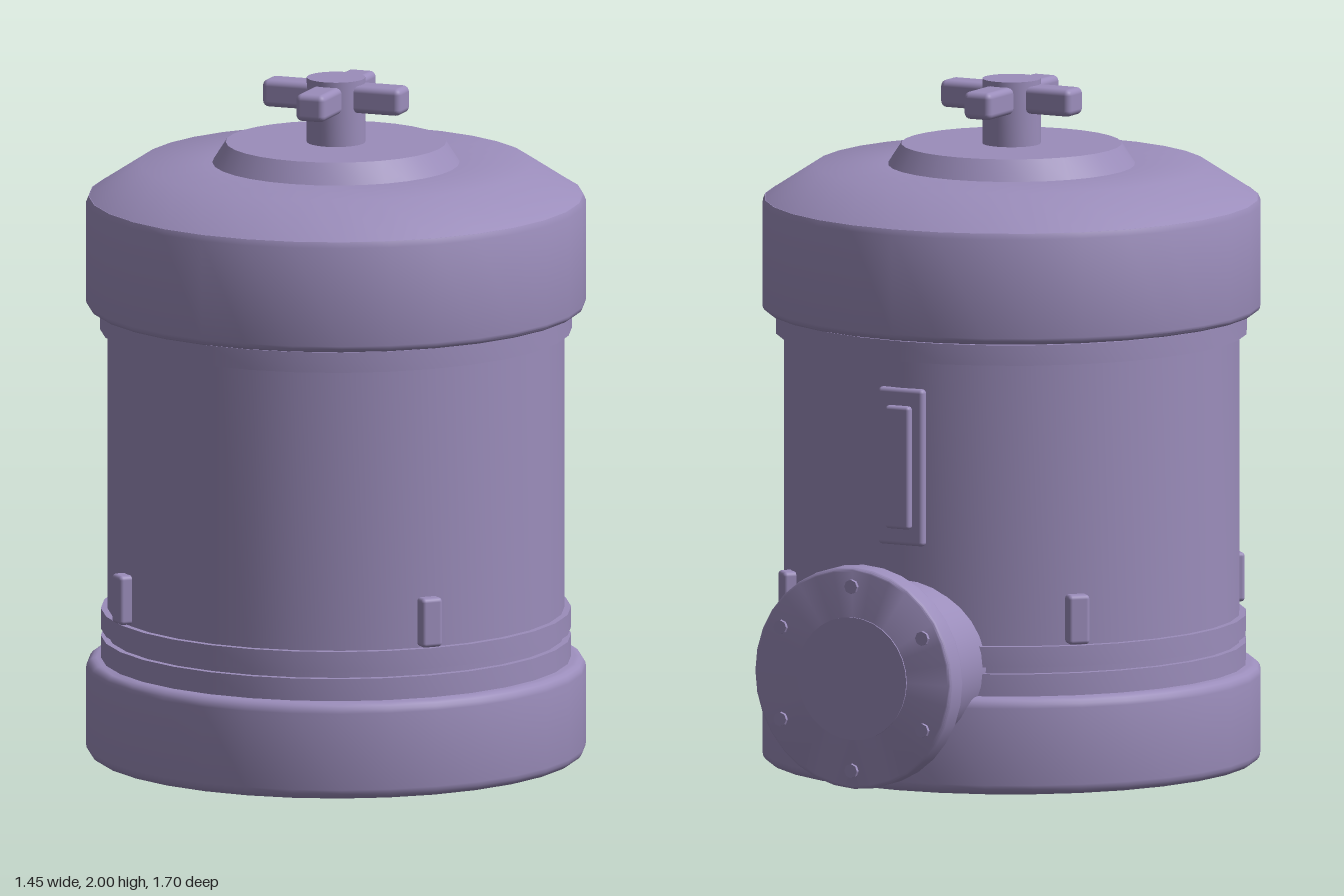
import * as THREE from 'three';
import { toCreasedNormals } from 'three/addons/utils/BufferGeometryUtils.js';
import { RoundedBoxGeometry } from 'three/addons/geometries/RoundedBoxGeometry.js';

const SIDES = 32;
const AXIS_Z = 0.125; // the tank sits forward of the outlet

export function createModel() {
  const model = new THREE.Group();
  model.name = 'filterTank';
  const paint = new THREE.MeshStandardMaterial({ color: 0x9b8dbb });
  paint.name = 'lavender paint';

  const add = (parent, name, geometry, x = 0, y = 0, z = 0) => {
    const mesh = new THREE.Mesh(geometry, paint);
    mesh.name = name;
    mesh.position.set(x, y, z);
    parent.add(mesh);
    return mesh;
  };
  // Turned part from [radius, height] points, listed bottom to top
  const turned = (points) => toCreasedNormals(
    new THREE.LatheGeometry(points.map(([r, y]) => new THREE.Vector2(r, y)), SIDES), 0.65);
  // Quarter-round corner running from angle a0 to a0 + 90 degrees
  const corner = (r, y, size, a0) => [0, 1, 2, 3, 4].map((i) => {
    const a = a0 + (i / 4) * Math.PI / 2;
    return [r + size * Math.cos(a), y + size * Math.sin(a)];
  });
  const drum = (r, y0, y1, bevel) => turned([
    [0, y0], ...corner(r - bevel, y0 + bevel, bevel, -Math.PI / 2),
    ...corner(r - bevel, y1 - bevel, bevel, 0), [0, y1]]);
  const ring = (r, y0, y1) => turned([[0, y0], [r, y0], [r, y1], [0, y1]]);

  // Tank: everything on the vertical axis
  const tank = new THREE.Group();
  tank.name = 'tank';
  tank.position.z = AXIS_Z;
  model.add(tank);
  add(tank, 'base', drum(0.725, 0.005, 0.29, 0.03));
  add(tank, 'body', ring(0.663, 0.25, 1.4));
  add(tank, 'baseCollar', ring(0.682, 0.28, 0.355));
  add(tank, 'lowerBand', ring(0.682, 0.375, 0.435));
  add(tank, 'upperBand', ring(0.685, 1.26, 1.32));
  add(tank, 'capRim', turned([
    [0, 1.325], ...corner(0.705, 1.345, 0.02, -Math.PI / 2),
    [0.725, 1.635], [0.718, 1.652], [0.69, 1.655]]));
  add(tank, 'capDome', turned([[0.718, 1.651], [0.57, 1.747], [0.34, 1.75], [0, 1.75]]));
  add(tank, 'capBoss', turned([[0.36, 1.748], [0.32, 1.81], [0, 1.81]]));

  // Four-armed hand knob
  const knob = new THREE.Group();
  knob.name = 'knob';
  tank.add(knob);
  add(knob, 'knobStem', ring(0.085, 1.8, 2.0));
  for (let i = 0; i < 2; i++) {
    const arm = add(knob, 'knobArm', new RoundedBoxGeometry(0.43, 0.08, 0.09, 3, 0.018), 0, 1.945);
    arm.rotation.y = i * Math.PI / 2;
  }

  // Four lugs around the lower body
  for (let i = 0; i < 4; i++) {
    const a = Math.PI / 4 + i * Math.PI / 2;
    const lug = add(tank, 'lug', new RoundedBoxGeometry(0.065, 0.145, 0.06, 3, 0.012),
      0.668 * Math.sin(a), 0.512, 0.668 * Math.cos(a));
    lug.rotation.y = a;
  }

  // Sight plate on the back
  add(model, 'sightPlate', new RoundedBoxGeometry(0.15, 0.46, 0.05, 3, 0.012), 0, 0.95, -0.527);
  add(model, 'sightWindow', new RoundedBoxGeometry(0.08, 0.36, 0.05, 3, 0.01), 0, 0.95, -0.547);

  // Outlet pipe: its local +y points to the back
  const outlet = new THREE.Group();
  outlet.name = 'outlet';
  outlet.position.y = 0.368;
  outlet.rotation.x = -Math.PI / 2;
  model.add(outlet);
  add(outlet, 'outletPipe', ring(0.25, 0.3, 0.78));
  add(outlet, 'flange', drum(0.325, 0.76, 0.84, 0.012));
  add(outlet, 'flangeDisc', ring(0.18, 0.83, 0.844));
  for (let i = 0; i < 6; i++) {
    const a = i * Math.PI / 3;
    add(outlet, 'bolt', toCreasedNormals(new THREE.CylinderGeometry(0.021, 0.021, 0.03, 8), 0.4),
      0.27 * Math.sin(a), 0.836, 0.27 * Math.cos(a));
  }
  return model;
}
